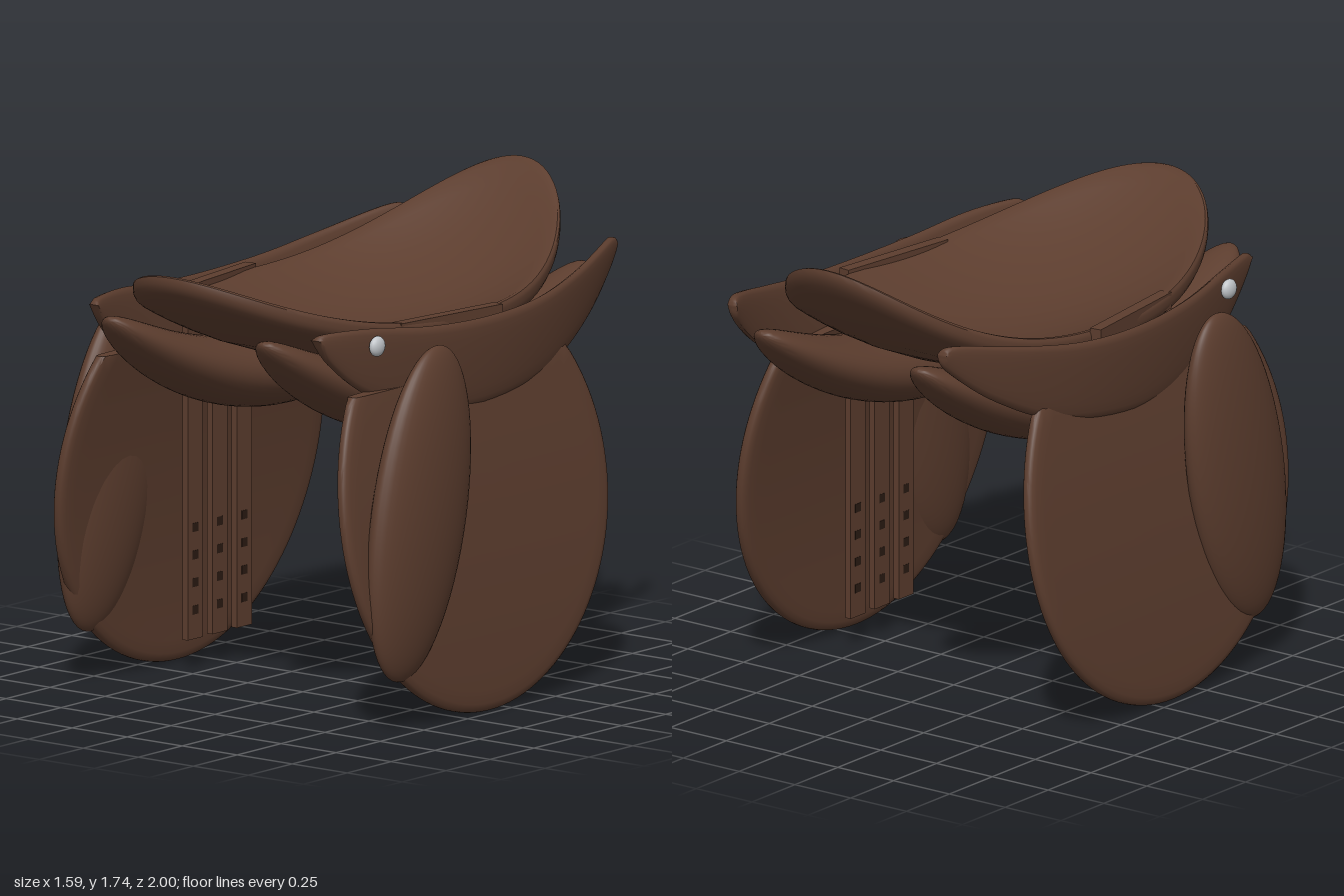
import * as THREE from 'three';
import { mergeVertices, toCreasedNormals } from 'three/addons/utils/BufferGeometryUtils.js';

const leather = new THREE.MeshStandardMaterial({ color: 0x5c3d2e });
leather.name = 'brown leather';
const steel = new THREE.MeshStandardMaterial({ color: 0xc0c4c8 });
steel.name = 'steel';
const dark = new THREE.MeshStandardMaterial({ color: 0x2a1a12 });
dark.name = 'dark hole';

// Move every vertex by a rule, then rebuild smooth normals
function reshape(geo, rule, crease = 0.7) {
  const p = geo.attributes.position, v = new THREE.Vector3();
  for (let i = 0; i < p.count; i++) {
    rule(v.fromBufferAttribute(p, i));
    p.setXYZ(i, v.x, v.y, v.z);
  }
  geo.deleteAttribute('uv');
  geo.deleteAttribute('normal');
  return toCreasedNormals(mergeVertices(geo, 1e-4), crease);
}

// Mirror across x with the corner order reversed
function mirrored(geo) {
  const g = geo.index ? geo.toNonIndexed() : geo.clone();
  g.scale(-1, 1, 1);
  for (const name of ['position', 'normal']) {
    const a = g.attributes[name];
    for (let i = 0; i < a.count; i += 3) {
      const b = [a.getX(i + 1), a.getY(i + 1), a.getZ(i + 1)];
      a.setXYZ(i + 1, a.getX(i + 2), a.getY(i + 2), a.getZ(i + 2));
      a.setXYZ(i + 2, ...b);
    }
  }
  return g;
}

// Unit disc of a given half thickness, with rings to bend and a rounded rim
function disc(half) {
  const under = [[0, -1], [0.15, -1], [0.3, -1], [0.45, -1], [0.6, -1], [0.72, -1], [0.82, -1],
    [0.9, -1], [0.96, -0.97], [0.985, -0.8], [0.997, -0.5], [1, -0.2]];
  const over = under.map(([r, h]) => [r, -h]).reverse();
  const profile = [...under, ...over].map(([r, h]) => new THREE.Vector2(r, h * half));
  return new THREE.LatheGeometry(profile, 120);
}

// Seat: a thin dished oval shell, swept up at both ends
function seatGeometry() {
  return reshape(disc(0.04), (v) => {
    const sweep = v.z > 0 ? 0.23 * v.z ** 2.45 : 0.35 * (-v.z) ** 2.8;
    v.y += 1.375 + sweep - 0.13 * (1 - v.x * v.x - v.z * v.z);
    v.x *= 0.555;
  });
}

// Panel: a long padded cushion bent upward at the ends
function panelGeometry() {
  return reshape(new THREE.SphereGeometry(1, 40, 40).rotateX(Math.PI / 2), (v) => {
    v.set(0.35 + v.x * 0.213, 1.097 + v.y * 0.132 + 0.312 * v.z * v.z, v.z * 0.92);
  }, 3);
}

// Skirt: a crescent plate lofted between an upper and a lower edge
function skirtGeometry() {
  const curve = (pts) => new THREE.SplineCurve(pts.map(([z, y]) => new THREE.Vector2(z, y)));
  const upper = curve([[-0.93, 1.5], [-0.88, 1.525], [-0.58, 1.465], [-0.3, 1.42], [0, 1.405],
    [0.3, 1.415], [0.57, 1.445], [0.77, 1.45], [0.81, 1.43]]);
  const lower = curve([[-0.93, 1.5], [-0.9, 1.43], [-0.7, 1.28], [-0.4, 1.145], [0, 1.085],
    [0.3, 1.11], [0.57, 1.2], [0.74, 1.33], [0.81, 1.43]]);
  const rows = 48, cols = 20, pos = [], idx = [];
  for (let i = 0; i <= rows; i++) {
    const a = upper.getPoint(i / rows), b = lower.getPoint(i / rows);
    for (let j = 0; j < cols; j++) {
      const t = (j / cols) * Math.PI * 2, k = (1 + Math.cos(t)) / 2, s = Math.sin(t);
      const z = b.x + (a.x - b.x) * k, y = b.y + (a.y - b.y) * k;
      const u = (z + 0.06) / 0.87;
      const x = 0.622 + 0.09 * (y - 1.25) - (u < 0 ? 0.175 : 0.135) * u * u;
      pos.push(x + 0.022 * Math.sign(s) * Math.sqrt(Math.abs(s)), y, z);
      if (i < rows) {
        const p = i * cols + j, q = i * cols + ((j + 1) % cols);
        idx.push(p, p + cols, q, q, p + cols, q + cols);
      }
    }
  }
  const g = new THREE.BufferGeometry();
  g.setAttribute('position', new THREE.Float32BufferAttribute(pos, 3));
  g.setIndex(idx);
  return reshape(g, () => {}, 1);
}

// Flap: a round plate, cut straight along the top, bowing outward to the bottom
function flapGeometry() {
  return reshape(disc(0.025).rotateZ(-Math.PI / 2), (v) => {
    const y = Math.min(0.77 + v.y * 0.77, 1.215);
    v.set(v.x + 0.708 - 0.025 * y - 0.072 * y * y, y, 0.09 + v.z * 0.745);
  });
}

// Knee block: a slim tilted pad on the front of the flap
function kneeBlockGeometry() {
  return new THREE.SphereGeometry(1, 40, 32).scale(0.09, 0.605, 0.25)
    .rotateX(-0.21).translate(0.705, 0.775, 0.472);
}

// Stirrup bar: a narrow strip between seat and skirt, turned in toward the front
function barGeometry() {
  return new THREE.BoxGeometry(0.045, 0.06, 0.5)
    .rotateY(-0.13).translate(0.531, 1.388, 0.09);
}

export function createModel() {
  const model = new THREE.Group();
  model.name = 'saddle';
  const add = (parent, name, geo, mat) => {
    const m = new THREE.Mesh(geo, mat);
    m.name = name;
    parent.add(m);
  };
  add(model, 'seat', seatGeometry(), leather);

  const parts = [
    ['panel', panelGeometry(), leather],
    ['skirt', skirtGeometry(), leather],
    ['flap', flapGeometry(), leather],
    ['kneeBlock', kneeBlockGeometry(), leather],
    ['stirrupBar', barGeometry(), leather],
    ['rivet', new THREE.SphereGeometry(1, 20, 14).scale(0.022, 0.037, 0.037).translate(0.598, 1.385, 0.575), steel],
  ];
  // Three girth straps per side, each with four punched holes
  for (let i = 0; i < 3; i++) {
    const z = -0.1 + i * 0.14;
    parts.push(['girthStrap', new THREE.BoxGeometry(0.024, 1.14, 0.085).translate(0.557, 0.68, z), leather]);
    for (let k = 0; k < 4; k++) {
      parts.push(['strapHole', new THREE.BoxGeometry(0.026, 0.032, 0.032).translate(0.557, 0.215 + k * 0.1, z), dark]);
    }
  }
  for (const side of ['left', 'right']) {
    const group = new THREE.Group();
    group.name = side + 'Side';
    for (const [name, geo, mat] of parts) {
      add(group, name, side === 'left' ? geo : mirrored(geo), mat);
    }
    model.add(group);
  }
  return model;
}
